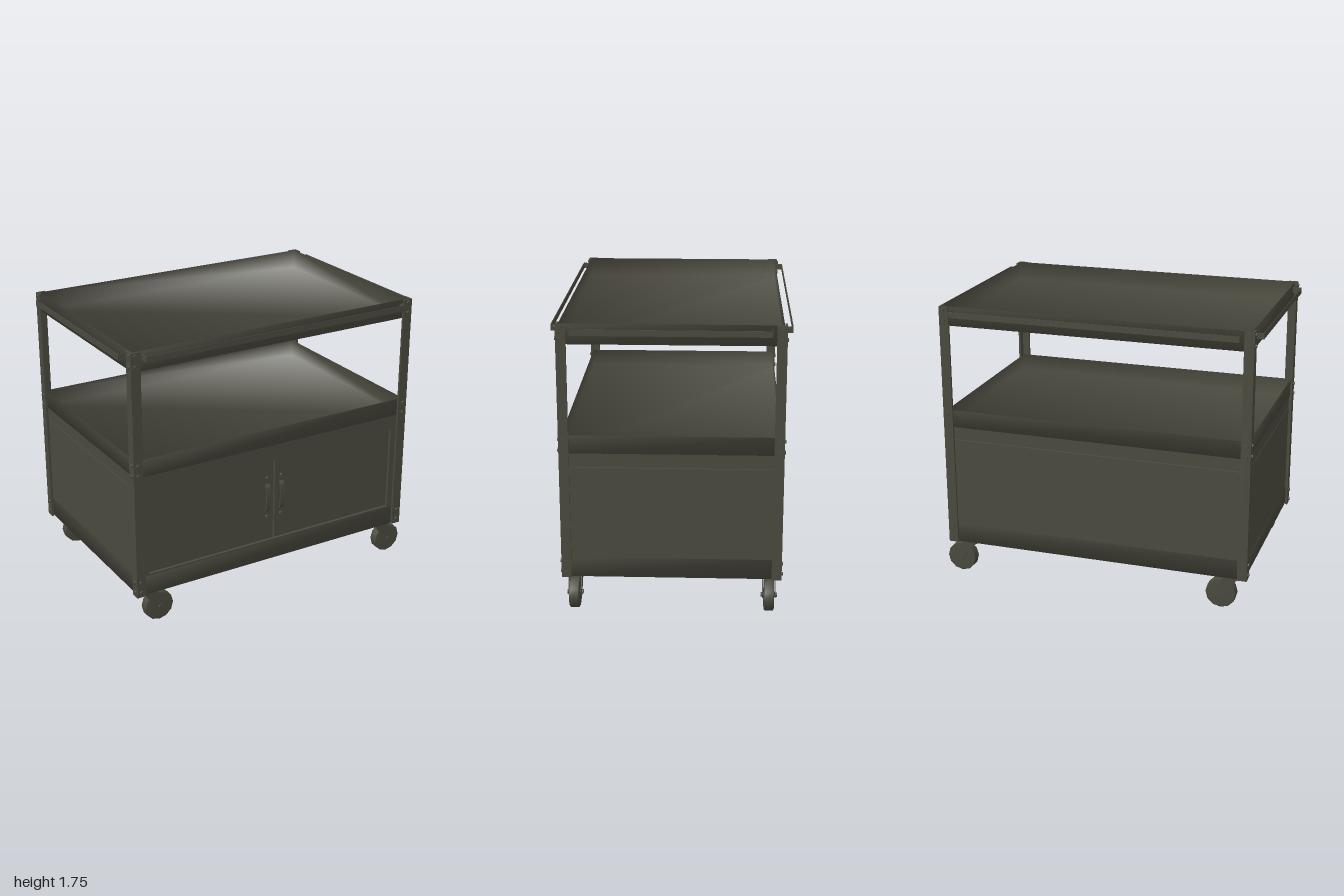
import * as THREE from 'three';
import { mergeVertices } from 'three/addons/utils/BufferGeometryUtils.js';

export function createModel() {
  const cart = new THREE.Group();
  cart.name = 'utilityCart';
  const steel = new THREE.MeshStandardMaterial({ color: 0x4b4a3f, side: THREE.DoubleSide });
  steel.name = 'olive grey steel';

  const add = (name, geo, x, y, z, parent = cart) => {
    const m = new THREE.Mesh(geo, steel);
    m.name = name;
    m.position.set(x, y, z);
    parent.add(m);
    return m;
  };
  const box = (name, w, h, d, x, y, z, parent) =>
    add(name, new THREE.BoxGeometry(w, h, d), x, y, z, parent);

  // Sheet-metal trays: open on top, floor at the bottom, shaded softly around the folds
  const tray = (name, y0, y1) => {
    let g = new THREE.BoxGeometry(1.89, y1 - y0, 1.26);
    const top = g.groups[2];
    g.setIndex([...g.index.array].filter((_, i) => i < top.start || i >= top.start + top.count));
    g.clearGroups();
    g.deleteAttribute('normal');
    g.deleteAttribute('uv');
    g = mergeVertices(g);
    const p = g.attributes.position;
    const n = [];
    for (let i = 0; i < p.count; i++) {
      const v = new THREE.Vector3(Math.sign(p.getX(i)), Math.min(0, Math.sign(p.getY(i))), Math.sign(p.getZ(i)));
      n.push(...v.normalize().toArray());
    }
    g.setAttribute('normal', new THREE.Float32BufferAttribute(n, 3));
    add(name, g, 0, (y0 + y1) / 2, 0);
  };
  tray('topShelf', 1.626, 1.745);
  tray('middleShelf', 0.981, 1.09);
  tray('bottomTray', 0.213, 0.335);

  // Angle-iron corner posts with bolts on both outer faces
  const boltRows = [1.725, 1.66, 1.065, 1.0, 0.31, 0.245];
  for (const sx of [-1, 1]) for (const sz of [-1, 1]) {
    const post = new THREE.Group();
    post.name = 'cornerPost';
    cart.add(post);
    box('postFrontFlange', 0.06, 1.532, 0.014, sx * 0.934, 0.979, sz * 0.639, post);
    box('postSideFlange', 0.014, 1.532, 0.058, sx * 0.957, 0.979, sz * 0.617, post);
    for (const y of boltRows) {
      const a = add('bolt', new THREE.CylinderGeometry(0.011, 0.013, 0.012, 8), sx * 0.937, y, sz * 0.648, post);
      a.rotation.x = sz * Math.PI / 2;
      const b = add('bolt', new THREE.CylinderGeometry(0.011, 0.013, 0.012, 8), sx * 0.966, y, sz * 0.62, post);
      b.rotation.z = -sx * Math.PI / 2;
    }
  }

  // Thin guard rails standing off the top shelf on all four sides
  for (const s of [-1, 1]) {
    box('longRail', 1.77, 0.036, 0.004, 0, 1.706, s * 0.678);
    box('shortRail', 0.004, 0.036, 1.13, s * 0.998, 1.706, 0);
    for (const e of [-1, 1]) {
      box('longRailReturn', 0.004, 0.036, 0.05, e * 0.883, 1.706, s * 0.655);
      box('shortRailReturn', 0.055, 0.036, 0.004, s * 0.9725, 1.706, e * 0.563);
    }
  }

  // Cabinet core standing in the bottom tray, with seamed side and back panels
  box('cabinetCore', 1.86, 0.755, 1.2, 0, 0.5985, 0);
  const panels = [['lower', 0.22, 0.893], ['upper', 0.898, 0.979]];
  for (const [n, y0, y1] of panels) {
    const h = y1 - y0, y = (y0 + y1) / 2;
    for (const s of [-1, 1]) box(n + 'SidePanel', 0.01, h, 1.23, s * 0.935, y, 0);
    box(n + 'BackPanel', 1.86, h, 0.02, 0, y, -0.61);
  }

  // Front frame around the door opening
  const frame = new THREE.Shape();
  frame.moveTo(-0.93, 0.22).lineTo(0.93, 0.22).lineTo(0.93, 0.979).lineTo(-0.93, 0.979).closePath();
  const hole = new THREE.Path();
  hole.moveTo(-0.87, 0.343).lineTo(-0.87, 0.887).lineTo(0.87, 0.887).lineTo(0.87, 0.343).closePath();
  frame.holes.push(hole);
  add('doorFrame', new THREE.ExtrudeGeometry(frame, { depth: 0.028, bevelEnabled: false }), 0, 0, 0.598);

  // Bowed pull handle
  const bow = new THREE.Shape();
  bow.moveTo(0, -0.093).lineTo(0.016, -0.075).quadraticCurveTo(0.03, 0, 0.016, 0.075).lineTo(0, 0.093)
    .lineTo(0, 0.08).lineTo(0.009, 0.068).quadraticCurveTo(0.02, 0, 0.009, -0.068).lineTo(0, -0.08).closePath();
  const handleGeo = new THREE.ExtrudeGeometry(bow, { depth: 0.03, bevelEnabled: false, curveSegments: 6 });
  handleGeo.translate(0, 0, -0.015).rotateY(-Math.PI / 2);

  for (const s of [-1, 1]) {
    box('door', 0.86, 0.534, 0.018, s * 0.435, 0.615, 0.607);
    add('doorHandle', handleGeo, s * 0.05, 0.633, 0.616);
    for (const y of [0.765, 0.505]) {
      const k = add('handleScrew', new THREE.CylinderGeometry(0.01, 0.012, 0.012, 8), s * 0.05, y, 0.621);
      k.rotation.x = Math.PI / 2;
    }
  }

  // Swivel casters, all trailing the same way
  const cheek = new THREE.Shape();
  cheek.moveTo(-0.04, 0.2).lineTo(0.05, 0.2).lineTo(0.085, 0.12).lineTo(0.08, 0.08)
    .lineTo(0.06, 0.07).lineTo(0.04, 0.08).lineTo(0.02, 0.14).lineTo(-0.02, 0.165).closePath();
  const cheekGeo = new THREE.ExtrudeGeometry(cheek, { depth: 0.006, bevelEnabled: false });
  for (const x of [-0.857, 0.843]) for (const z of [-0.575, 0.575]) {
    const caster = new THREE.Group();
    caster.name = 'caster';
    caster.position.set(x, 0, z);
    cart.add(caster);
    box('forkCrown', 0.09, 0.01, 0.08, 0.005, 0.2, 0, caster);
    add('swivel', new THREE.CylinderGeometry(0.025, 0.03, 0.015, 10), 0, 0.206, 0, caster);
    for (const o of [-0.04, 0.034]) add('forkCheek', cheekGeo, 0, 0, o, caster);
    // Wheel with slightly chamfered tread
    const prof = [[0.001, -0.03], [0.087, -0.03], [0.094, -0.024], [0.094, 0.024], [0.087, 0.03], [0.001, 0.03]]
      .map(p => new THREE.Vector2(p[0], p[1]));
    const wheel = add('wheel', new THREE.LatheGeometry(prof, 12), 0.06, 0.094, 0, caster);
    wheel.rotation.x = Math.PI / 2;
    const axle = add('axle', new THREE.CylinderGeometry(0.014, 0.014, 0.096, 8), 0.06, 0.094, 0, caster);
    axle.rotation.x = Math.PI / 2;
  }
  return cart;
}
